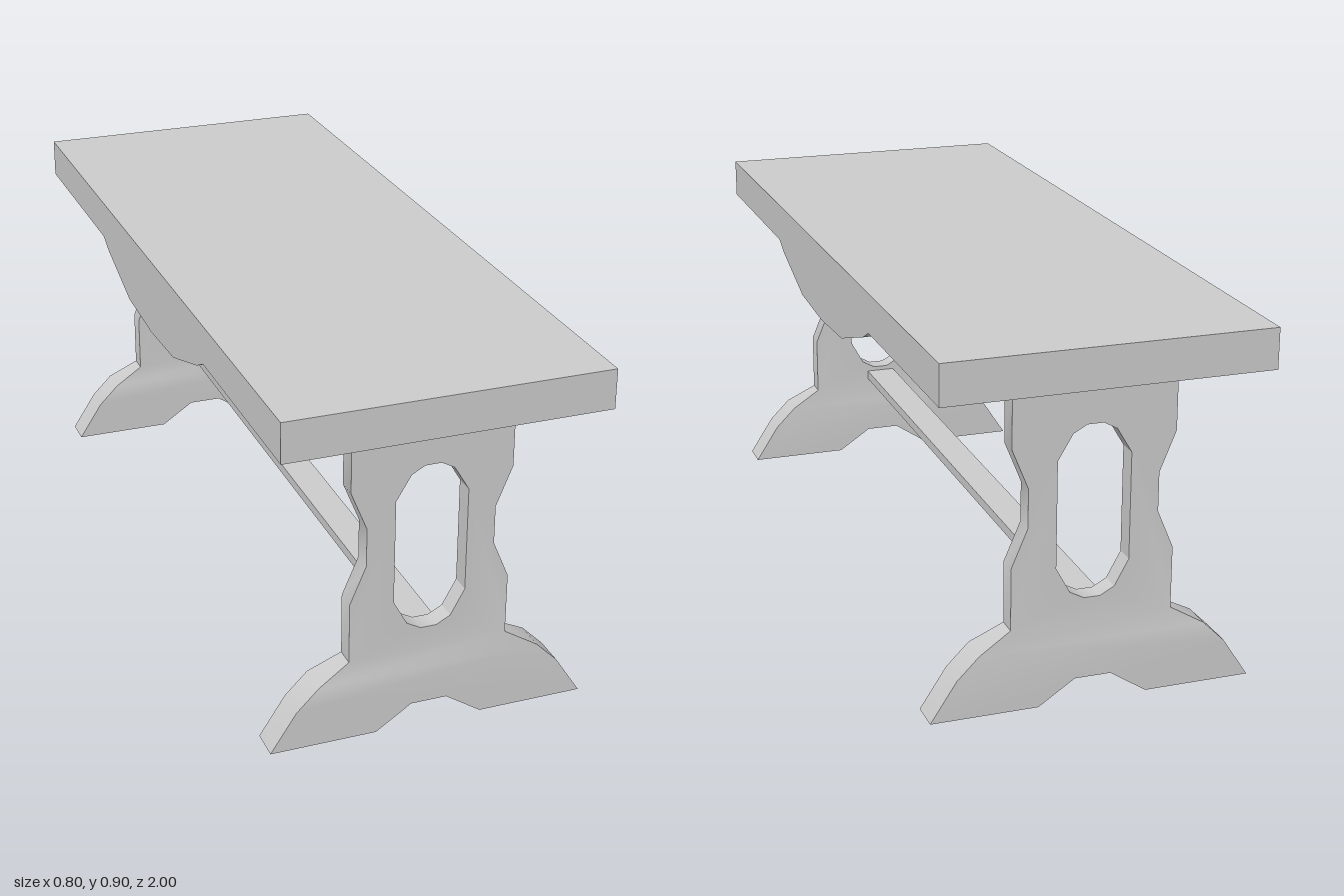
import * as THREE from 'three';
import { mergeGeometries, toCreasedNormals } from 'three/addons/utils/BufferGeometryUtils.js';

const material = new THREE.MeshStandardMaterial({ color: 0xcccccc });
const CREASE = 0.5;

// Points of one half, completed by their mirror image across the vertical axis.
function mirrored(half) {
  const other = half.map(([u, v]) => [-u, v]).reverse();
  return [...half, ...other].map(([u, v]) => new THREE.Vector2(u, v));
}

// Flat board with the given outline, centred on its thickness.
function board(outline, depth, hole) {
  const shape = new THREE.Shape(outline);
  if (hole) shape.holes.push(new THREE.Path(hole));
  const geo = new THREE.ExtrudeGeometry(shape, { depth, bevelEnabled: false });
  return geo.translate(0, 0, -depth / 2);
}

// Sloped block between the wide foot and the thinner upright.
function taper(y0, y1, wide, narrow) {
  const geo = new THREE.BoxGeometry(2, y1 - y0, 2).toNonIndexed();
  const pos = geo.attributes.position;
  for (let i = 0; i < pos.count; i++) {
    const top = pos.getY(i) > 0;
    const [hx, hz] = top ? narrow : wide;
    pos.setXYZ(i, pos.getX(i) * hx, top ? y1 : y0, pos.getZ(i) * hz);
  }
  return geo;
}

function addMesh(parent, name, geometry, x = 0, y = 0, z = 0) {
  const mesh = new THREE.Mesh(geometry, material);
  mesh.name = name;
  mesh.position.set(x, y, z);
  parent.add(mesh);
  return mesh;
}

function trestleGeometry() {
  const upright = board(
    mirrored([[0.2, 0.2], [0.2, 0.355], [0.16, 0.45], [0.16, 0.547], [0.2, 0.645], [0.2, 0.8]]),
    0.05,
    mirrored([[0.02, 0.257], [0.055, 0.276], [0.09, 0.34], [0.09, 0.605], [0.053, 0.667], [0.02, 0.685]])
  );
  const foot = board(
    mirrored([[0.045, 0.06], [0.135, 0], [0.4, 0], [0.335, 0.1], [0.28, 0.155]]),
    0.08
  );
  const slope = taper(0.155, 0.2, [0.28, 0.04], [0.2, 0.025]);
  return toCreasedNormals(mergeGeometries([upright, foot, slope]), CREASE);
}

export function createModel() {
  const table = new THREE.Group();
  table.name = 'trestleTable';

  addMesh(table, 'tableTop', new THREE.BoxGeometry(0.8, 0.1, 2), 0, 0.85, 0);

  // Cut-out trestles at both ends
  const trestle = trestleGeometry();
  addMesh(table, 'frontTrestle', trestle, 0, 0, 0.88);
  addMesh(table, 'backTrestle', trestle, 0, 0, -0.88);

  // Curved aprons under the long edges
  const apron = toCreasedNormals(
    board(mirrored([[0.13, 0.707], [0.2, 0.711], [0.4, 0.775], [0.45, 0.8]].reverse().concat([])
      .reverse()).concat(new THREE.Vector2(0, 0.7)), 0.065),
    CREASE
  ).rotateY(Math.PI / 2);
  addMesh(table, 'leftApron', apron, 0.3675);
  addMesh(table, 'rightApron', apron, -0.3675);

  // Rails joining the trestles
  addMesh(table, 'upperRail', new THREE.BoxGeometry(0.08, 0.07, 1.71), 0, 0.74, 0);
  addMesh(table, 'lowerRail', new THREE.BoxGeometry(0.08, 0.025, 1.71), 0, 0.2325, 0);

  return table;
}
